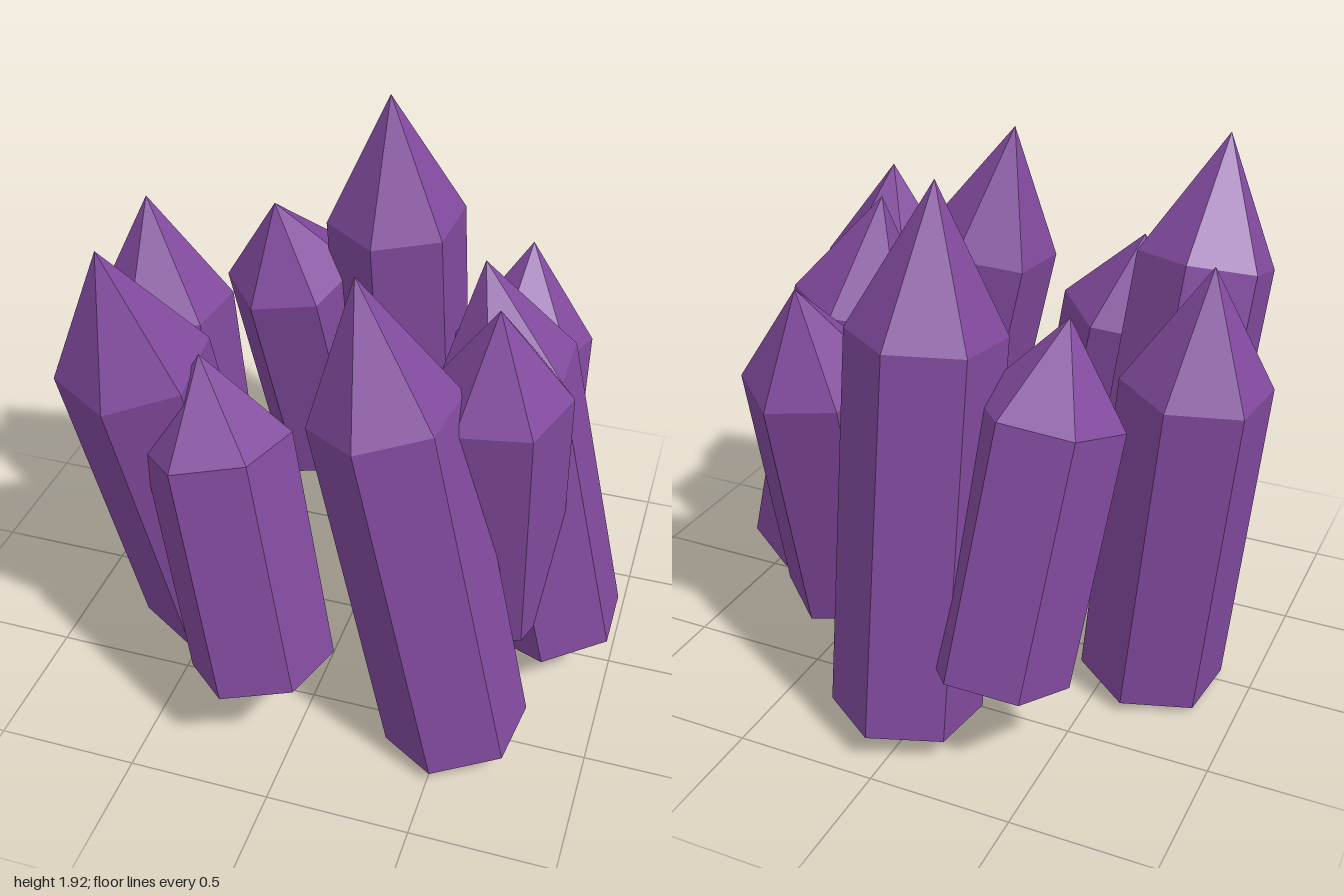
import * as THREE from 'three';

const UP = new THREE.Vector3(0, 1, 0);
const SHOULDER = 0.737; // share of the length where the point begins

// Each crystal: name, base centre, tip, radius, twist in degrees
const CRYSTALS = [
  ['backCrystal', [0.03, 0.09, -0.675], [-0.035, 1.935, -0.525], 0.26, -5],
  ['backRightCrystal', [-0.305, 0.33, -0.665], [-0.435, 1.51, -0.405], 0.25, -20],
  ['rightCrystal', [-0.65, 0.05, -0.07], [-0.8, 1.63, -0.105], 0.255, -6],
  ['frontRightCrystal', [-0.5, 0.15, 0.22], [-0.61, 1.843, 0.655], 0.257, 0],
  ['frontCrystal', [-0.12, 0.33, 0.68], [-0.345, 1.46, 0.545], 0.25, -15],
  ['frontLeftCrystal', [0.54, 0.06, 0.52], [0.16, 1.81, 0.51], 0.255, -7],
  ['leftFrontCrystal', [0.56, 0.37, 0.155], [0.57, 1.665, 0.333], 0.245, -20],
  ['leftCrystal', [0.785, 0.19, 0.015], [0.45, 1.65, 0.02], 0.25, 0],
  ['backLeftCrystal', [0.525, 0.17, -0.17], [0.515, 1.47, -0.475], 0.25, -11],
];

// Six-sided prism with a pointed top, standing on the origin
function crystalGeometry(radius, length, twist) {
  const profile = [[0, 0], [radius, 0], [radius, length * SHOULDER], [0, length]];
  const points = profile.map(([x, y]) => new THREE.Vector2(x, y));
  return new THREE.LatheGeometry(points, 6).rotateY(THREE.MathUtils.degToRad(twist));
}

export function createModel() {
  const group = new THREE.Group();
  group.name = 'crystalRing';
  const material = new THREE.MeshStandardMaterial({ color: 0x824a9e, flatShading: true });

  for (const [name, base, tip, radius, twist] of CRYSTALS) {
    const foot = new THREE.Vector3(...base);
    const axis = new THREE.Vector3(...tip).sub(foot);
    const crystal = new THREE.Mesh(crystalGeometry(radius, axis.length(), twist), material);
    crystal.name = name;
    crystal.position.copy(foot);
    crystal.quaternion.setFromUnitVectors(UP, axis.normalize());
    group.add(crystal);
  }
  return group;
}
